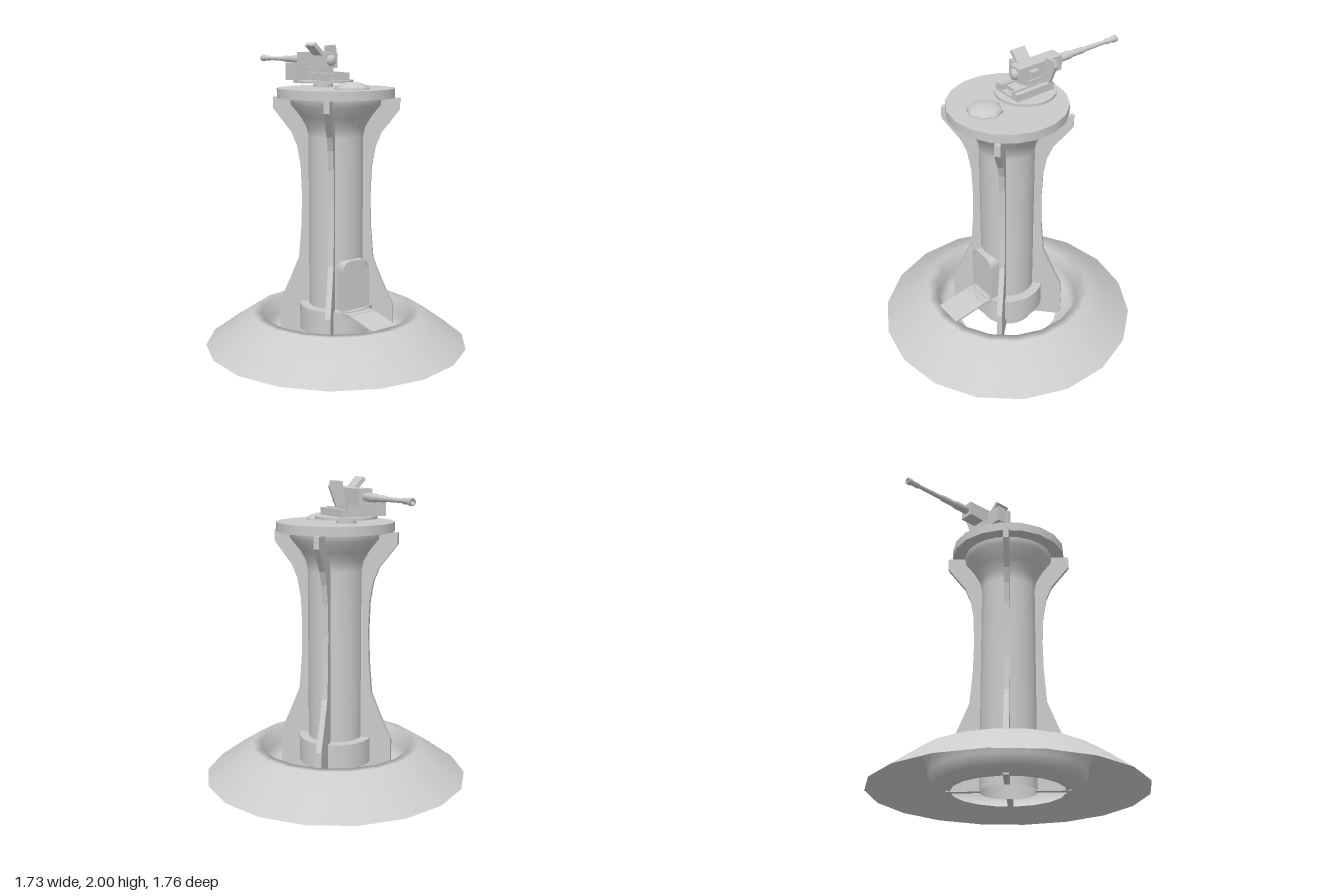
import * as THREE from 'three';

const grey = new THREE.MeshStandardMaterial({ color: 0xcccccc });
const greyDouble = new THREE.MeshStandardMaterial({ color: 0xcccccc, side: THREE.DoubleSide });
const vecs = (pts) => pts.map(([x, y]) => new THREE.Vector2(x, y));

export function createModel() {
  const model = new THREE.Group();
  model.name = 'gunTower';

  const add = (name, geometry, parent = model, material = grey) => {
    const mesh = new THREE.Mesh(geometry, material);
    mesh.name = name;
    parent.add(mesh);
    return mesh;
  };
  // Box given by its minimum and maximum on each axis
  const box = (name, [x0, x1], [y0, y1], [z0, z1], parent) => {
    const mesh = add(name, new THREE.BoxGeometry(x1 - x0, y1 - y0, z1 - z0), parent);
    mesh.position.set((x0 + x1) / 2, (y0 + y1) / 2, (z0 + z1) / 2);
    return mesh;
  };
  const disc = (name, r, y0, y1, z, sides, parent) => {
    const mesh = add(name, new THREE.CylinderGeometry(r, r, y1 - y0, sides), parent);
    mesh.position.set(0, (y0 + y1) / 2, z);
    return mesh;
  };
  const lathe = (name, pts, sides) =>
    add(name, new THREE.LatheGeometry(vecs(pts), sides), model, greyDouble);

  // Sloping earthwork with a sunken ring inside
  lathe('baseMound', [
    [0.88, 0], [0.7, 0.13], [0.57, 0.215], [0.51, 0.213],
    [0.5, 0.1], [0.46, 0.035], [0.36, 0],
  ], 18);

  // Hollow column flaring under the platform, and the low collar round its foot
  lathe('column', [
    [0.182, 0], [0.182, 0.7], [0.182, 1.4], [0.195, 1.46],
    [0.235, 1.53], [0.295, 1.605], [0.3, 1.65],
  ], 24);
  const collar = [[0.245, 0.1], [0.245, 0.27], [0.245, 0.27], [0.18, 0.27]];
  lathe('columnCollar', collar, 24);

  // Four curved buttress fins on the diagonals
  const finShape = new THREE.Shape(vecs([
    [0.17, 0], [0.385, 0], [0.385, 0.265], [0.315, 0.42], [0.25, 0.58],
    [0.232, 0.8], [0.227, 1.0], [0.235, 1.2], [0.258, 1.33], [0.295, 1.42],
    [0.415, 1.575], [0.415, 1.65], [0.17, 1.65],
  ]));
  const finGeometry = new THREE.ExtrudeGeometry(finShape, { depth: 0.036, bevelEnabled: false });
  finGeometry.translate(0, 0, -0.018);
  for (let i = 0; i < 4; i++) {
    add('buttressFin', finGeometry).rotation.y = Math.PI / 4 + (i * Math.PI) / 2;
  }

  // Arched door with a slim raised frame
  const arch = (T, w, y0, y1, c) => {
    const s = new T();
    s.moveTo(-w, y0);
    s.lineTo(w, y0);
    s.lineTo(w, y1 - c);
    s.quadraticCurveTo(w, y1, w - c, y1);
    s.lineTo(c - w, y1);
    s.quadraticCurveTo(-w, y1, -w, y1 - c);
    s.closePath();
    return s;
  };
  const extrude = (shape, depth) =>
    new THREE.ExtrudeGeometry(shape, { depth, bevelEnabled: false, curveSegments: 5 });
  add('door', extrude(arch(THREE.Shape, 0.097, 0.26, 0.59, 0.06), 0.11)).position.z = 0.1;
  const frame = arch(THREE.Shape, 0.107, 0.25, 0.603, 0.065);
  frame.holes.push(arch(THREE.Path, 0.095, 0.262, 0.588, 0.058));
  add('doorFrame', extrude(frame, 0.12)).position.z = 0.1;

  // Landing and sloping gangplank bridging the sunken ring
  box('doorLanding', [-0.1, 0.1], [0.235, 0.262], [0.15, 0.285]);
  const ramp = add('gangplank', new THREE.BoxGeometry(0.2, 0.014, 0.235));
  ramp.position.set(0, 0.234, 0.395);
  ramp.rotation.x = Math.atan2(0.038, 0.228);

  // Platform and hatch dome
  disc('platform', 0.385, 1.65, 1.71, 0, 18);
  const dome = add('hatchDome', new THREE.SphereGeometry(0.115, 8, 5, 0, Math.PI * 2, 0, Math.PI / 2));
  dome.scale.y = 0.4;
  dome.position.set(0, 1.709, 0.17);

  // Gun on its turntable
  const gun = new THREE.Group();
  gun.name = 'gun';
  model.add(gun);
  disc('turntablePivot', 0.065, 1.705, 1.742, -0.14, 16, gun);
  disc('turntable', 0.198, 1.74, 1.757, -0.14, 20, gun);
  box('carriagePlate', [-0.105, 0.105], [1.755, 1.772], [-0.28, 0.005], gun);
  for (const s of [-1, 1]) {
    const span = (a, b) => (s > 0 ? [a, b] : [-b, -a]);
    box('outerRail', span(0.075, 0.107), [1.755, 1.805], [-0.28, 0.005], gun);
    box('innerRail', span(0.048, 0.064), [1.77, 1.81], [-0.28, 0.005], gun);
  }
  box('cradle', [-0.045, 0.045], [1.77, 1.8], [-0.28, -0.03], gun);
  box('gunMount', [-0.06, 0.06], [1.8, 1.84], [-0.27, -0.11], gun);

  // Ammunition boxes beside the carriage
  for (const z of [-0.28, -0.247, -0.2]) {
    box('ammunitionBox', [-0.207, -0.1], [1.757, 1.868], [z, z + 0.029], gun);
  }

  // Receiver, side block and tilted feed cover
  box('receiver', [-0.042, 0.052], [1.835, 1.935], [-0.385, -0.055], gun);
  box('sideBlock', [0.05, 0.085], [1.865, 1.908], [-0.18, -0.125], gun);
  const cover = add('feedCover', new THREE.BoxGeometry(0.135, 0.026, 0.1), gun);
  cover.position.set(-0.05, 1.942, -0.15);
  cover.rotation.z = -Math.PI / 4;

  // Rear knob
  const knob = add('rearKnob', new THREE.SphereGeometry(0.037, 8, 6), gun);
  knob.position.set(0, 1.885, -0.055);
  knob.scale.z = 0.7;

  // Gunner's side shield
  const shield = new THREE.Shape(vecs([
    [0.05, 1.83], [0.125, 1.82], [0.175, 1.945], [0.162, 1.983], [0.085, 1.977], [0.068, 1.87],
  ]));
  add('shield', extrude(shield, 0.02), gun).position.z = -0.245;

  // Stepped barrel with flared muzzle: radius, distance forward
  const barrel = new THREE.LatheGeometry(vecs([
    [0, 0.37], [0.027, 0.37], [0.027, 0.49], [0.021, 0.495], [0.021, 0.6], [0.016, 0.605],
    [0.013, 0.79], [0.019, 0.8], [0.017, 0.85], [0.023, 0.857], [0.023, 0.885],
    [0.012, 0.885], [0.01, 0.84], [0, 0.84],
  ]), 10);
  const barrelMesh = add('barrel', barrel, gun, greyDouble);
  barrelMesh.rotation.x = -Math.PI / 2;
  barrelMesh.position.y = 1.885;

  return model;
}
